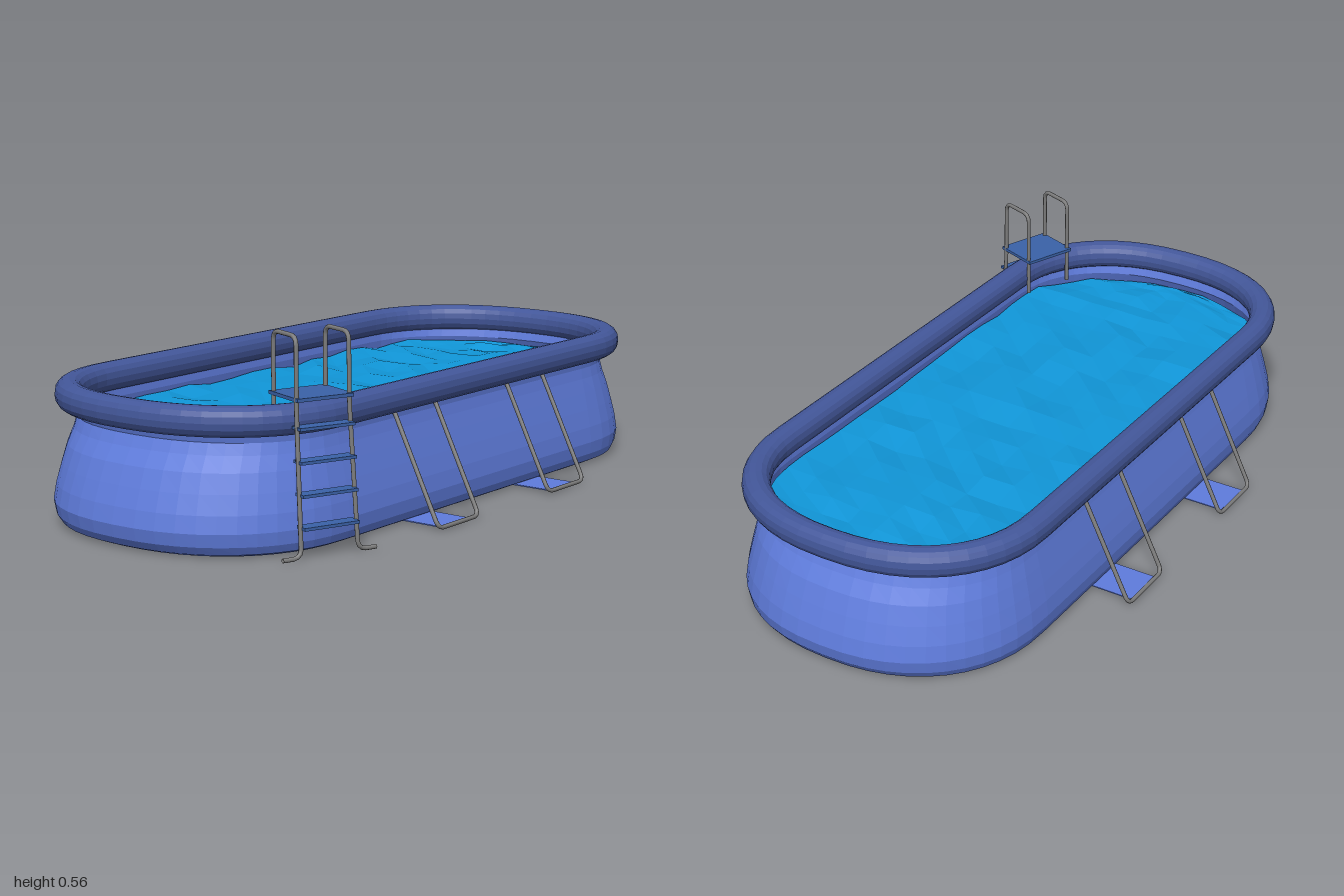
import * as THREE from 'three';

const S = 0.58; // half length of the straight sides
const FULL = 0.88; // below 1 makes the round ends fuller
const V = (x, y, z) => new THREE.Vector3(x, y, z);
const paint = (color, extra = {}) => new THREE.MeshStandardMaterial({ color, ...extra });
const soften = (v, power) => Math.sign(v) * Math.abs(v) ** power;

function add(parent, name, geometry, material) {
  const mesh = new THREE.Mesh(geometry, material);
  mesh.name = name;
  parent.add(mesh);
  return mesh;
}

// Rounded-end outline with half extents ex and ez
function outline(ex, ez, y, arc = 24, straight = 8) {
  const pts = [];
  for (const side of [1, -1]) {
    for (let i = 0; i <= arc; i++) {
      const a = -Math.PI / 2 + (i / arc) * Math.PI;
      const c = soften(Math.max(0, Math.cos(a)), FULL);
      pts.push([side * (S + (ex - S) * c), y, side * ez * soften(Math.sin(a), FULL)]);
    }
    for (let i = 1; i < straight; i++) pts.push([side * S * (1 - (2 * i) / straight), y, side * ez]);
  }
  return pts;
}

// Skin through outline rings given as [ex, ez, y]
function loft(profile, closed = false) {
  const rings = profile.map((p) => outline(...p));
  const n = rings[0].length;
  const index = [];
  const last = closed ? rings.length : rings.length - 1;
  for (let j = 0; j < last; j++) {
    const k = (j + 1) % rings.length;
    for (let i = 0; i < n; i++) {
      const m = (i + 1) % n;
      index.push(j * n + i, k * n + i, k * n + m, j * n + i, k * n + m, j * n + m);
    }
  }
  const g = new THREE.BufferGeometry();
  g.setAttribute('position', new THREE.Float32BufferAttribute(rings.flat(2), 3));
  g.setIndex(index);
  g.computeVertexNormals();
  return g;
}

// Bent pipe through points, with rounded corners
function pipe(points, bend, radius = 0.006) {
  const path = new THREE.CurvePath();
  let from = points[0];
  for (let i = 1; i < points.length - 1; i++) {
    const p = points[i];
    const a = p.clone().add(points[i - 1].clone().sub(p).setLength(bend));
    const b = p.clone().add(points[i + 1].clone().sub(p).setLength(bend));
    path.add(new THREE.LineCurve3(from, a));
    path.add(new THREE.QuadraticBezierCurve3(a, p, b));
    from = b;
  }
  path.add(new THREE.LineCurve3(from, points[points.length - 1]));
  return new THREE.TubeGeometry(path, 90, radius, 8);
}

// Rippled low-poly surface squeezed into the pool outline
function waterGeometry(ex, ez, y) {
  const g = new THREE.PlaneGeometry(2, 2, 30, 8).rotateX(-Math.PI / 2);
  const p = g.attributes.position;
  let seed = 7;
  const random = () => (seed = (seed * 16807) % 2147483647) / 2147483647;
  for (let i = 0; i < p.count; i++) {
    const x = ex * Math.sin((p.getX(i) * Math.PI) / 2);
    const t = Math.max(0, Math.abs(x) - S) / (ex - S);
    const half = ez * Math.max(0, 1 - t ** (2 / FULL)) ** (FULL / 2);
    const ripple = (random() - 0.5) * 0.02 * Math.min(1, half / 0.3);
    p.setXYZ(i, x, y + ripple, p.getZ(i) * half);
  }
  g.computeVertexNormals();
  return g;
}

export function createModel() {
  const model = new THREE.Group();
  model.name = 'pool';
  const wallPaint = paint(0x5f7cdc, { flatShading: true, side: THREE.DoubleSide });
  const rimPaint = paint(0x43579a, { flatShading: true });
  const stepPaint = paint(0x3a62a8);
  const waterPaint = paint(0x1096d8, { flatShading: true, side: THREE.DoubleSide });
  const metal = paint(0x7c7c7c, { side: THREE.DoubleSide });

  // Floor and bulging wall
  add(model, 'wall', loft([
    [S, 0, 0], [0.955, 0.4, 0], [0.975, 0.417, 0.008], [0.992, 0.426, 0.03],
    [1.0, 0.43, 0.065], [0.99, 0.425, 0.11], [0.972, 0.415, 0.16], [0.952, 0.404, 0.21],
    [0.926, 0.395, 0.25], [0.912, 0.39, 0.28], [0.922, 0.393, 0.315],
  ]), wallPaint);

  // Inflated ring
  const ring = [];
  for (let i = 0; i < 16; i++) {
    const a = (i / 16) * Math.PI * 2;
    const c = soften(Math.cos(a), 0.9) * 0.037;
    ring.push([0.938 + c, 0.402 + c, 0.339 + soften(Math.sin(a), 0.9) * 0.04]);
  }
  add(model, 'inflatedRim', loft(ring, true), rimPaint);

  add(model, 'water', waterGeometry(0.908, 0.386, 0.265), waterPaint);

  // Slanted side supports, each with a ground strap
  for (const side of [1, -1]) {
    for (const x of [-0.262, 0.262]) {
      const support = new THREE.Group();
      support.name = 'sideSupport';
      support.position.x = x;
      if (side < 0) support.rotation.y = Math.PI;
      add(support, 'supportFrame', pipe([
        V(-0.091, 0.305, 0.396), V(-0.091, 0.008, 0.543), V(0.091, 0.008, 0.543), V(0.091, 0.305, 0.396),
      ], 0.022), metal);
      const strap = add(support, 'groundStrap', new THREE.BoxGeometry(0.126, 0.003, 0.15), wallPaint);
      strap.position.set(0, 0.004, 0.468);
      model.add(support);
    }
  }

  // Ladder over the rim
  const ladder = new THREE.Group();
  ladder.name = 'ladder';
  ladder.position.set(-0.688, 0, 0.393);
  ladder.rotation.y = -0.36;
  model.add(ladder);
  for (const s of [-1, 1]) {
    add(ladder, 'ladderRail', pipe([
      V(s * 0.135, 0.007, 0.085), V(s * 0.082, 0.007, 0.085), V(s * 0.076, 0.37, 0.054),
      V(s * 0.075, 0.554, 0.052), V(s * 0.075, 0.554, -0.06), V(s * 0.075, 0.29, -0.06),
    ], 0.025), metal);
  }
  const platform = add(ladder, 'platform', new THREE.BoxGeometry(0.162, 0.009, 0.142), stepPaint);
  platform.position.set(0, 0.397, -0.003);
  for (const y of [0.08, 0.161, 0.243, 0.326]) {
    const step = add(ladder, 'step', new THREE.BoxGeometry(0.158, 0.008, 0.04), stepPaint);
    step.position.set(0, y, 0.085 - (y / 0.37) * 0.031);
  }
  return model;
}
